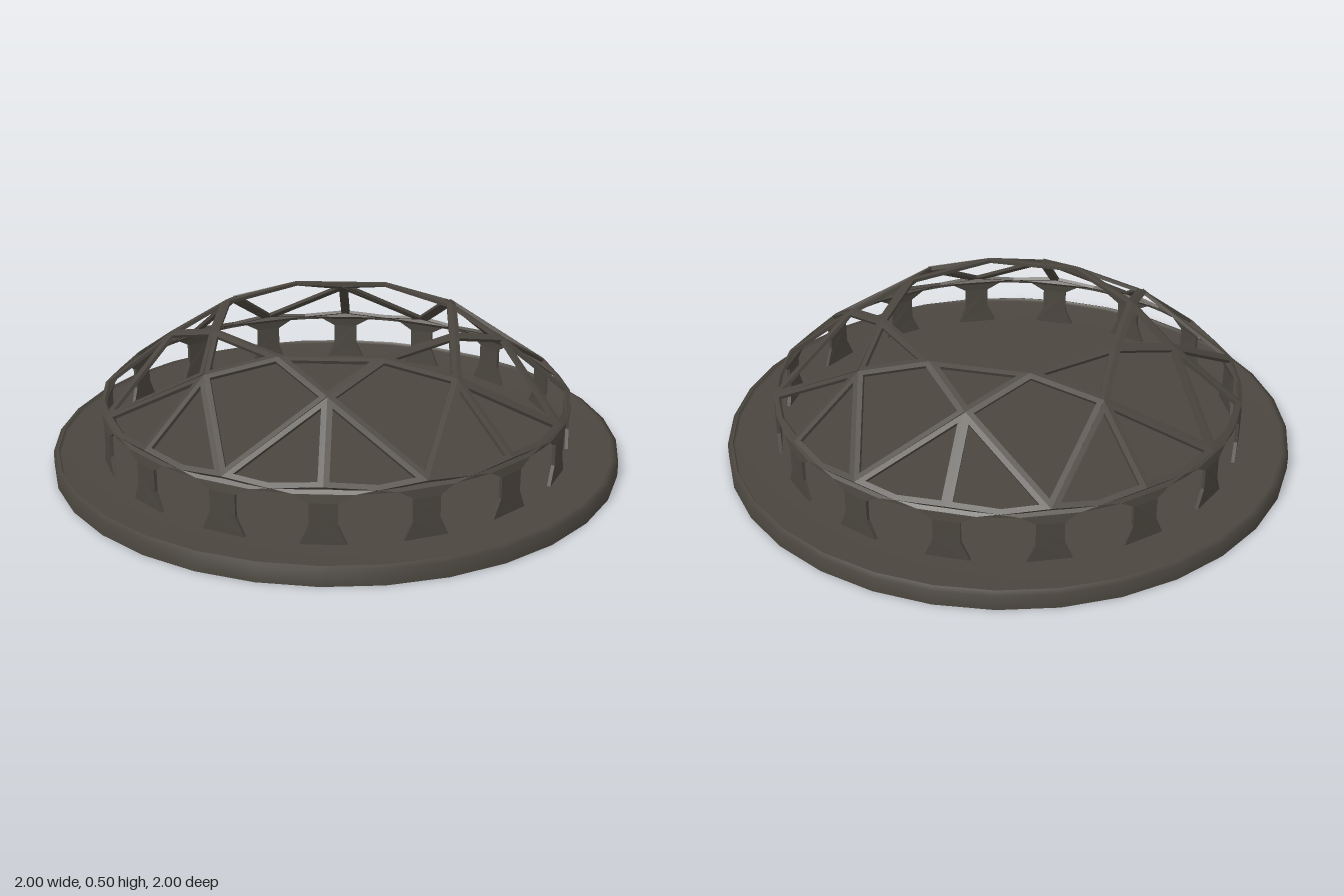
import * as THREE from 'three';
import { mergeGeometries } from 'three/addons/utils/BufferGeometryUtils.js';

const STEP = Math.PI / 8; // sixteen divisions round the girdle
const THICK = 0.012;
const GIRDLE = { r: 0.825, y: 0.24 };
const TABLE = { r: 0.44, y: 0.5 };
const NODE = { r: 0.58, y: 0.433 };

// Point on a ring at a given division, measured from the front
const at = (ring, i) => new THREE.Vector3(
  Math.sin(i * STEP) * ring.r, ring.y, Math.cos(i * STEP) * ring.r);

// Move each side of a counter-clockwise convex polygon inwards by d
function inset(pts, d) {
  return pts.map((p, i) => {
    const prev = pts[(i + pts.length - 1) % pts.length];
    const next = pts[(i + 1) % pts.length];
    const a = p.clone().sub(prev).normalize();
    const b = next.clone().sub(p).normalize();
    const n1 = new THREE.Vector2(-a.y, a.x);
    const n2 = new THREE.Vector2(-b.y, b.x);
    const k = d / (1 + n1.dot(n2));
    return p.clone().add(n1.add(n2).multiplyScalar(k));
  });
}

// Thin open frame round a flat facet given by its corners
function facetFrame(corners, width) {
  const center = corners.reduce((s, p) => s.add(p), new THREE.Vector3()).divideScalar(corners.length);
  const normalOf = (p) => p[1].clone().sub(p[0]).cross(p[2].clone().sub(p[0])).normalize();
  let pts = corners;
  if (normalOf(pts).dot(center) < 0) pts = [...corners].reverse();
  const n = normalOf(pts);
  const u = pts[1].clone().sub(pts[0]).normalize();
  const v = n.clone().cross(u);
  const flat = pts.map((p) => {
    const q = p.clone().sub(pts[0]);
    return new THREE.Vector2(q.dot(u), q.dot(v));
  });
  const shape = new THREE.Shape(flat);
  shape.holes.push(new THREE.Path(inset(flat, width).reverse()));
  const geo = new THREE.ExtrudeGeometry(shape, { depth: THICK, bevelEnabled: false });
  geo.translate(0, 0, -THICK);
  return geo.applyMatrix4(new THREE.Matrix4().makeBasis(u, v, n).setPosition(pts[0]));
}

// Flared post with its share of the girdle, bent round the circle
function postGeometry(i) {
  const half = GIRDLE.r * STEP / 2;
  const side = [[half, 0.226], [half, 0.214], [0.095, 0.214], [0.045, 0.185], [0.045, 0.11], [0.075, 0.043]];
  const outline = [[0, GIRDLE.y], ...side, ...side.map(([x, y]) => [-x, y]).reverse()];
  const geo = new THREE.ExtrudeGeometry(
    new THREE.Shape(outline.map(([x, y]) => new THREE.Vector2(x, y))),
    { depth: THICK, bevelEnabled: false });
  const pos = geo.attributes.position;
  for (let k = 0; k < pos.count; k++) {
    const a = pos.getX(k) / GIRDLE.r + i * STEP;
    const r = GIRDLE.r - THICK + pos.getZ(k);
    pos.setXYZ(k, Math.sin(a) * r, pos.getY(k), Math.cos(a) * r);
  }
  geo.computeVertexNormals();
  return geo;
}

export function createModel() {
  const model = new THREE.Group();
  const metal = new THREE.MeshStandardMaterial({ color: 0x4b463f });
  metal.name = 'dark bronze';
  const add = (name, geo) => {
    const mesh = new THREE.Mesh(geo, metal);
    mesh.name = name;
    model.add(mesh);
  };
  const lathe = (pts) => new THREE.LatheGeometry(pts.map(([x, y]) => new THREE.Vector2(x, y)), 32);

  // Round base with a shallow dished floor
  add('baseRim', lathe([[1, 0], [1, 0.052], [0.982, 0.06]]));
  add('baseFloor', lathe([[0.982, 0.06], [0.975, 0.048], [0.68, 0.042], [0, 0.042]]));
  add('baseUnderside', new THREE.CircleGeometry(1, 32).rotateX(Math.PI / 2));

  // Crown facets: kites, star triangles and pairs of girdle facets
  const kites = [], stars = [], girdles = [];
  for (let i = 0; i < 16; i += 2) {
    kites.push(facetFrame([at(TABLE, i), at(NODE, i - 1), at(GIRDLE, i), at(NODE, i + 1)], 0.018));
    stars.push(facetFrame([at(TABLE, i), at(NODE, i + 1), at(TABLE, i + 2)], 0.018));
    for (const j of [i, i + 2]) {
      const node = at(NODE, i + 1), a = at(GIRDLE, j), b = at(GIRDLE, i + 1);
      const mid = a.clone().add(b).multiplyScalar(0.5);
      // carry the outer edge out to the girdle circle within the facet plane
      const bulge = mid.clone().add(mid.clone().sub(node).multiplyScalar(0.07));
      girdles.push(facetFrame([node, a, bulge, b], 0.018));
    }
  }
  add('kiteFrames', mergeGeometries(kites));
  add('starFrames', mergeGeometries(stars));
  add('girdleFrames', mergeGeometries(girdles));

  // Flat octagonal frame on top
  const table = [];
  for (let i = 0; i < 16; i += 2) table.push(at(TABLE, i));
  add('tableFrame', facetFrame(table, 0.018));

  // Ring of posts
  for (let i = 0; i < 16; i++) add('post' + (i + 1), postGeometry(i));
  return model;
}
